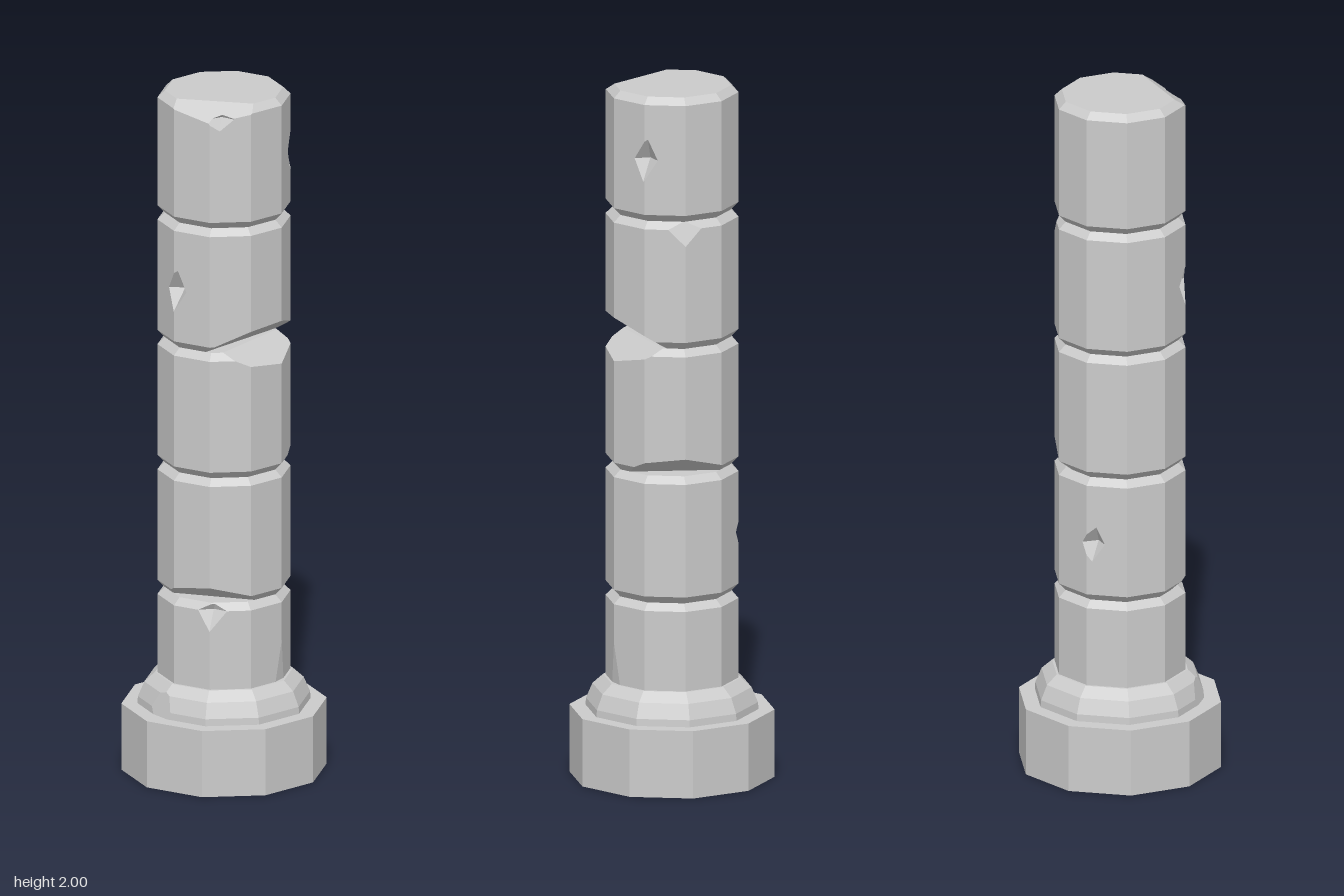
import * as THREE from 'three';

const SIDES = 10;
const STEP = (Math.PI * 2) / SIDES;
const APOTHEM = Math.cos(STEP / 2);
const V = (x, y, z) => new THREE.Vector3(x, y, z);
const planeAt = (normal, point) =>
  new THREE.Plane().setFromNormalAndCoplanarPoint(normal.clone().normalize(), point);
const flip = (plane) => plane.clone().negate();

// Keep the part of a polygon behind a plane
function clip(poly, plane) {
  const out = [];
  poly.forEach((a, i) => {
    const b = poly[(i + 1) % poly.length];
    const da = plane.distanceToPoint(a), db = plane.distanceToPoint(b);
    if (da <= 1e-7) out.push(a);
    if ((da > 1e-7 && db < -1e-7) || (da < -1e-7 && db > 1e-7)) out.push(a.clone().lerp(b, da / (da - db)));
  });
  return out.length > 2 ? out : [];
}

// Large square lying on a plane, counter-clockwise from its front
function sheet(plane) {
  const n = plane.normal, c = plane.coplanarPoint(V(0, 0, 0));
  const u = (Math.abs(n.y) > 0.9 ? V(1, 0, 0) : V(0, 1, 0)).cross(n).normalize();
  const v = n.clone().cross(u);
  return [[-1, -1], [1, -1], [1, 1], [-1, 1]].map(([a, b]) =>
    c.clone().addScaledVector(u, a * 4).addScaledVector(v, b * 4));
}

const facesOf = (planes) =>
  planes.map((p) => planes.reduce((poly, q) => (q === p ? poly : clip(poly, q)), sheet(p)));

// Planes of a ten-sided solid with a convex [radius, y] profile, bottom to top
function profilePlanes(profile) {
  const planes = [
    planeAt(V(0, -1, 0), V(0, profile[0][1], 0)),
    planeAt(V(0, 1, 0), V(0, profile[profile.length - 1][1], 0)),
  ];
  for (let i = 1; i < profile.length; i++) {
    const [r0, y0] = profile[i - 1], [r1, y1] = profile[i];
    for (let k = 0; k < SIDES; k++) {
      const a = (k + 0.5) * STEP, c = Math.cos(a), s = Math.sin(a);
      planes.push(planeAt(V(c * (y1 - y0), (r0 - r1) * APOTHEM, s * (y1 - y0)),
        V(c * r0 * APOTHEM, y0, s * r0 * APOTHEM)));
    }
  }
  return planes;
}

// Diamond-shaped pit: an inward pyramid at an angle (degrees) and height
function pitPlanes({ angle, y, w, h, depth, radius = 0.188 }) {
  const a = THREE.MathUtils.degToRad(angle);
  const out = V(Math.cos(a), 0, Math.sin(a)), side = V(-Math.sin(a), 0, Math.cos(a));
  const apex = out.clone().multiplyScalar(radius - depth).setY(y);
  return [[1, 1.2], [-1, 0.8], [-1, -1.1], [1, -0.9]].map(([sx, sy]) =>
    planeAt(side.clone().multiplyScalar(sx * depth / w)
      .addScaledVector(V(0, 1, 0), sy * depth / h).sub(out), apex));
}

// Stone solid: profile, trimmed by flat chips, with pits carved out
function stone(name, { profile, chips = [], pits = [] }) {
  const planes = [...profilePlanes(profile),
    ...chips.map(([n, p]) => planeAt(V(...n), V(...p)))];
  let faces = facesOf(planes);
  for (const pit of pits.map(pitPlanes)) {
    const outside = [];
    for (const face of faces) {
      let rest = face;
      for (const p of pit) {
        outside.push(clip(rest, flip(p)));
        rest = clip(rest, p);
      }
    }
    const walls = facesOf(pit).map((f) => planes.reduce(clip, f).reverse());
    faces = [...outside, ...walls];
  }
  const pos = [];
  for (const f of faces)
    for (let i = 2; i < f.length; i++)
      for (const p of [f[0], f[i - 1], f[i]]) pos.push(p.x, p.y, p.z);
  const geometry = new THREE.BufferGeometry();
  geometry.setAttribute('position', new THREE.Float32BufferAttribute(pos, 3));
  geometry.computeVertexNormals();
  const mesh = new THREE.Mesh(geometry,
    new THREE.MeshStandardMaterial({ color: 0xcccccc, flatShading: true }));
  mesh.name = name;
  return mesh;
}

// Drum with bevelled rims
const drum = (y0, y1) => [[0.167, y0], [0.188, y0 + 0.022], [0.188, y1 - 0.02], [0.167, y1]];

export function createModel() {
  const group = new THREE.Group();
  group.name = 'stoneColumn';

  // Plinth and rounded collar
  group.add(stone('plinth', { profile: [[0.29, 0], [0.29, 0.195]] }));
  group.add(stone('collar', {
    profile: [[0.245, 0.19], [0.243, 0.215], [0.225, 0.258], [0.195, 0.285]],
    chips: [[[-0.82, 0.25, 0.52], [-0.18, 0.245, 0.13]]],
  }));

  // Shaft drums, bottom to top, with their weathering
  const drums = [
    {
      profile: [[0.188, 0.26], [0.188, 0.515], [0.167, 0.535]],
      chips: [[[0.81, -0.06, 0.59], [0.147, 0.3, 0.107]]],
      pits: [{ angle: 106, y: 0.515, w: 0.075, h: 0.06, depth: 0.03 }],
    },
    {
      profile: drum(0.535, 0.903),
      chips: [[[-0.18, -0.8, 0.45], [-0.04, 0.58, 0.179]]],
      pits: [{ angle: 246, y: 0.71, w: 0.045, h: 0.06, depth: 0.04 }],
    },
    {
      profile: drum(0.903, 1.272),
      chips: [[[0.35, 0.85, 0.3], [0.15, 1.22, 0.11]],
        [[0.45, -0.85, -0.25], [0.15, 0.955, -0.11]]],
    },
    {
      profile: drum(1.272, 1.64),
      chips: [[[0.35, -0.85, 0.38], [0.12, 1.345, 0.14]],
        [[0.75, 0.3, -0.55], [0.145, 1.6, -0.105]]],
      pits: [{ angle: 143, y: 1.445, w: 0.05, h: 0.065, depth: 0.04 }],
    },
    {
      profile: drum(1.64, 2),
      chips: [[[-0.17, 0.83, 0.53], [-0.03, 2, 0.115]]],
      pits: [{ angle: 0, y: 1.82, w: 0.05, h: 0.065, depth: 0.04 },
        { angle: 98, y: 1.965, w: 0.04, h: 0.03, depth: 0.025, radius: 0.178 }],
    },
  ];
  drums.forEach((d, i) => group.add(stone(`shaftDrum${i + 1}`, d)));
  return group;
}
